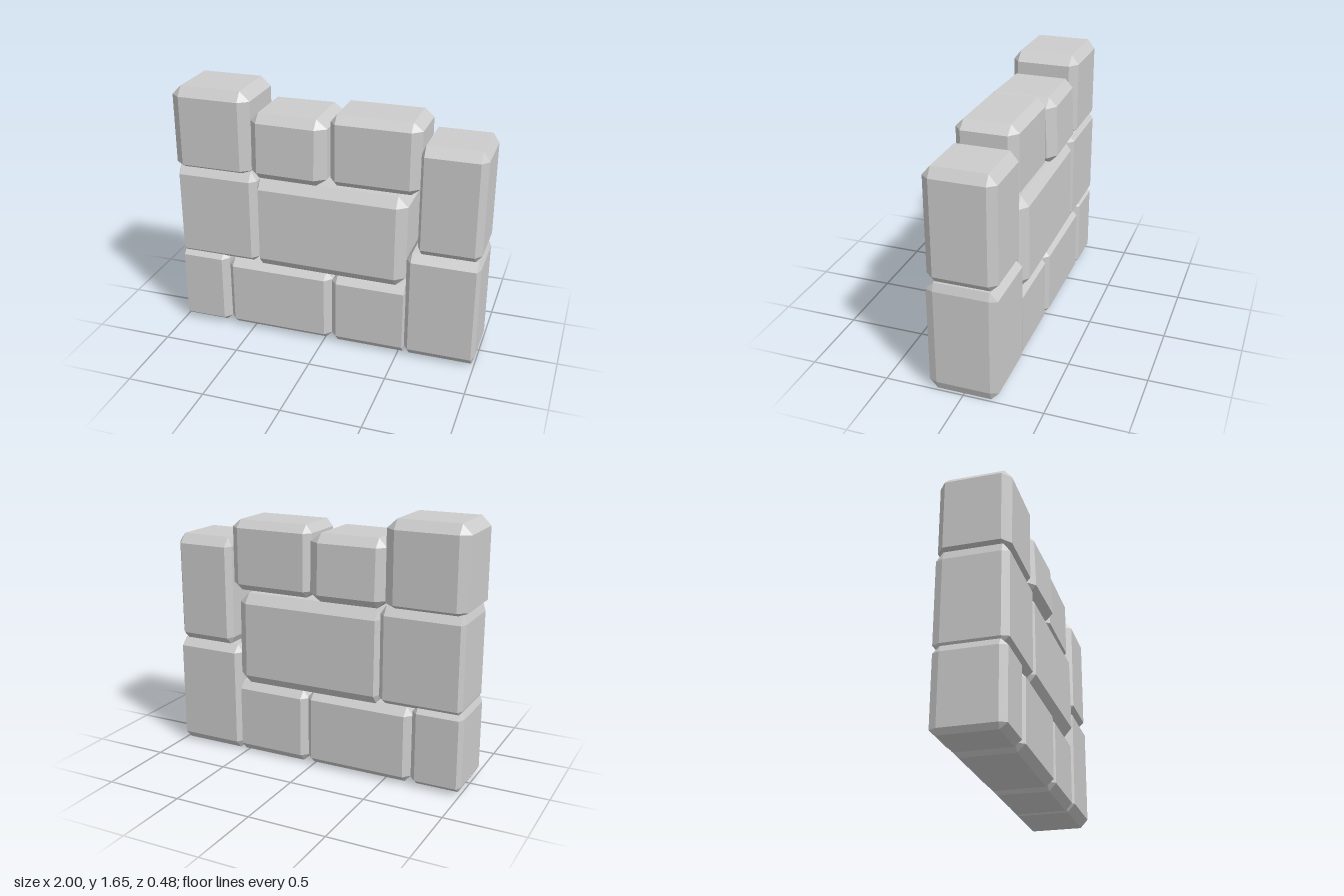
import * as THREE from 'three';
import { ConvexGeometry } from 'three/addons/geometries/ConvexGeometry.js';

// name, outer [x0, x1, y0, y1], flat face [x0, x1, y0, y1], half depth, bevel depth, depth taper [x, y]
const STONES = [
  ['bottomStone1', [-1, -0.67, 0.01, 0.53], [-0.98, -0.71, 0.045, 0.485], 0.215, 0.045, [0, 0]],
  ['bottomStone2', [-0.67, 0.05, 0.005, 0.5], [-0.63, 0.005, 0.05, 0.45], 0.215, 0.05, [0, 0]],
  ['bottomStone3', [0.045, 0.54, 0, 0.49], [0.085, 0.53, 0.05, 0.44], 0.21, 0.045, [0, 0]],
  ['tallStoneLower', [0.535, 1, 0, 0.73], [0.57, 0.98, 0.055, 0.68], 0.22, 0.05, [0, 0]],
  ['tallStoneUpper', [0.6, 1, 0.725, 1.44], [0.625, 0.96, 0.775, 1.38], 0.217, 0.05, [0, 0]],
  ['middleStoneSmall', [-0.99, -0.45, 0.505, 1.13], [-0.97, -0.49, 0.54, 1.07], 0.22, 0.045, [0, 0]],
  ['middleStoneLarge', [-0.45, 0.535, 0.49, 1.095], [-0.43, 0.47, 0.55, 1.03], 0.225, 0.05, [0.005, -0.003]],
  ['topStone1', [-1, -0.48, 1.11, 1.65], [-0.94, -0.545, 1.14, 1.59], 0.222, 0.048, [0, 0]],
  ['topStone2', [-0.48, 0.02, 1.1, 1.525], [-0.43, -0.05, 1.15, 1.47], 0.228, 0.05, [0.005, -0.006]],
  ['topStone3', [0.03, 0.6, 1.1, 1.56], [0.07, 0.54, 1.145, 1.51], 0.193, 0.05, [0, 0]],
];

// Block with bevelled edges: each corner gives one point to each of its three faces
function stoneGeometry(outer, face, depth, bevel, taper) {
  const points = [];
  for (const i of [0, 1]) for (const j of [0, 1]) for (const s of [-1, 1]) {
    const z = depth + taper[0] * (2 * i - 1) + taper[1] * (2 * j - 1);
    const fx = face[i], fy = face[2 + j];
    points.push(
      new THREE.Vector3(fx, fy, s * z),
      new THREE.Vector3(outer[i], fy, s * (z - bevel)),
      new THREE.Vector3(fx, outer[2 + j], s * (z - bevel)),
    );
  }
  return new ConvexGeometry(points);
}

export function createModel() {
  const wall = new THREE.Group();
  wall.name = 'stoneWall';
  const material = new THREE.MeshStandardMaterial({ color: 0xcccccc, flatShading: true });
  for (const [name, ...shape] of STONES) {
    const stone = new THREE.Mesh(stoneGeometry(...shape), material);
    stone.name = name;
    wall.add(stone);
  }
  return wall;
}
